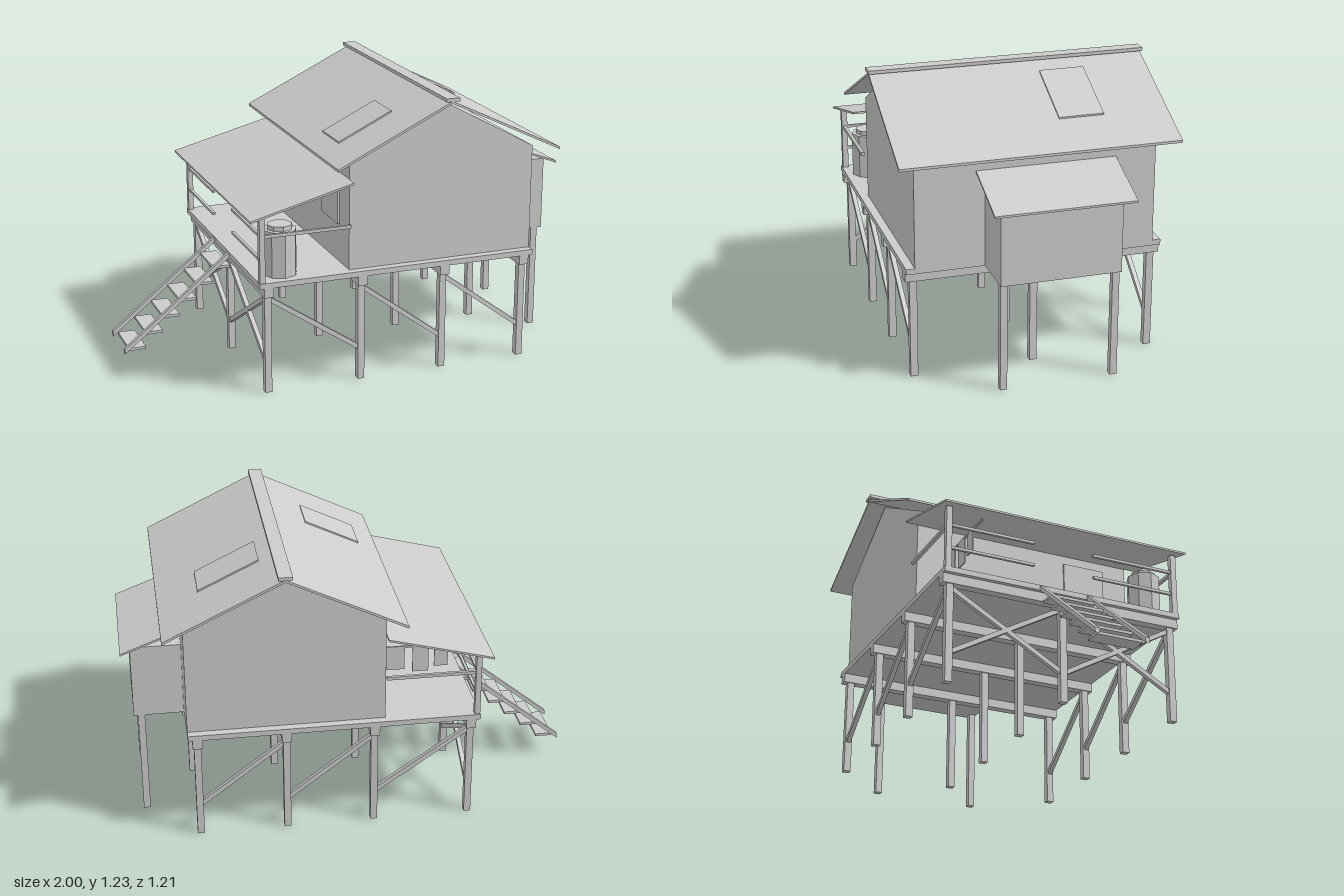
import * as THREE from 'three';

export function createModel() {
  const model = new THREE.Group();
  model.name = 'stiltHouse';
  const grey = new THREE.MeshStandardMaterial({ color: 0xcccccc });
  grey.name = 'plain grey';

  const add = (name, geometry) => {
    const mesh = new THREE.Mesh(geometry, grey);
    mesh.name = name;
    model.add(mesh);
    return mesh;
  };
  // Box given by its limits on each axis
  const box = (name, x0, x1, y0, y1, z0, z1) =>
    add(name, new THREE.BoxGeometry(x1 - x0, y1 - y0, z1 - z0)
      .translate((x0 + x1) / 2, (y0 + y1) / 2, (z0 + z1) / 2));
  // Outline in x and y, extruded from z0 to z1
  const prism = (name, points, z0, z1) => {
    const shape = new THREE.Shape(points.map(([x, y]) => new THREE.Vector2(x, y)));
    return add(name, new THREE.ExtrudeGeometry(shape, { depth: z1 - z0, bevelEnabled: false })
      .translate(0, 0, z0));
  };
  // Sloping sheet whose lower face runs from a to b (a left of b)
  const sheet = (name, a, b, t, z0, z1) =>
    prism(name, [a, b, [b[0], b[1] + t], [a[0], a[1] + t]], z0, z1);
  // Square bar between two points
  const bar = (name, a, b, w) => {
    const from = new THREE.Vector3(...a), to = new THREE.Vector3(...b);
    const mesh = add(name, new THREE.BoxGeometry(w, w, from.distanceTo(to)));
    mesh.position.copy(from).add(to).multiplyScalar(0.5);
    mesh.lookAt(to);
    return mesh;
  };

  // Stilts, cross beams and deck
  const rows = [-0.48, -0.06, 0.32, 0.70];
  for (const x of rows) {
    box('crossBeam', x - 0.021, x + 0.021, 0.435, 0.476, -0.555, 0.555);
    for (const z of [-0.52, 0, 0.52]) {
      box('stilt', x - 0.015, x + 0.015, 0, 0.436, z - 0.016, z + 0.016);
    }
  }
  box('deck', -0.52, 0.74, 0.476, 0.5, -0.555, 0.555);

  // Diagonal braces along both sides, crossed braces at the stair end
  for (const z of [-0.52, 0.52]) {
    for (let i = 0; i < 3; i++) {
      bar('sideBrace', [rows[i], 0.425, z], [rows[i + 1], 0.14, z], 0.02);
    }
    bar('endBrace', [-0.48, 0.425, z], [-0.48, 0.13, 0], 0.02);
    bar('endBrace', [-0.48, 0.13, z], [-0.48, 0.425, 0], 0.02);
  }

  // House body with gables
  prism('houseWalls', [[-0.11, 0.5], [0.74, 0.5], [0.74, 0.965], [0.32, 1.195], [-0.11, 0.965]], -0.518, 0.518);
  box('shutter', -0.119, -0.109, 0.67, 0.85, 0.2, 0.4);

  // Main roof, ridge cap and roof hatches
  const eave = 0.96, ridge = 1.205;
  sheet('leftRoof', [-0.19, eave], [0.32, ridge], 0.011, -0.598, 0.598);
  sheet('rightRoof', [0.32, ridge], [0.83, eave], 0.011, -0.598, 0.598);
  box('ridgeCap', 0.29, 0.35, 1.215, 1.23, -0.603, 0.603);
  const roofTop = (x) => ridge + 0.012 - Math.abs(x - 0.32) * (ridge - eave) / 0.51;
  sheet('leftHatch', [-0.10, roofTop(-0.10)], [0.14, roofTop(0.14)], 0.007, 0.17, 0.365);
  sheet('rightHatch', [0.40, roofTop(0.40)], [0.66, roofTop(0.66)], 0.007, -0.315, -0.12);

  // Porch roof, posts and railings
  sheet('porchRoof', [-0.565, 0.774], [-0.11, 0.892], 0.009, -0.575, 0.575);
  for (const s of [-1, 1]) {
    const z = s * 0.537;
    box('porchPost', -0.518, -0.494, 0.5, 0.782, z - 0.013, z + 0.013);
    bar('sideRail', [-0.506, 0.7, z], [-0.11, 0.7, z], 0.014);
    for (const y of [0.595, 0.7]) {
      bar('endRail', [-0.506, y, z], [-0.506, y, s * 0.14], 0.012);
    }
  }

  // Washing line with hanging cloths
  bar('washingLine', [-0.506, 0.762, -0.38], [-0.11, 0.762, -0.38], 0.008);
  for (const [x, w, y] of [[-0.375, 0.06, 0.66], [-0.285, 0.07, 0.64], [-0.175, 0.08, 0.655]]) {
    box('cloth', x - w / 2, x + w / 2, y, 0.758, -0.383, -0.377);
  }

  // Barrel with lid
  const barrel = (name, r, y0, y1) =>
    add(name, new THREE.CylinderGeometry(r, r, y1 - y0, 8).toNonIndexed()
      .translate(-0.397, (y0 + y1) / 2, 0.45)).geometry.computeVertexNormals();
  barrel('barrel', 0.074, 0.5, 0.7);
  barrel('barrelLid', 0.055, 0.7, 0.72);

  // Annex on its own stilts with a lean-to roof
  box('annex', 0.738, 0.957, 0.475, 0.805, -0.297, 0.22);
  sheet('annexRoof', [0.74, 0.888], [1.0, 0.79], 0.009, -0.342, 0.258);
  for (const z of [-0.28, 0.2]) {
    box('annexStilt', 0.908, 0.938, 0, 0.476, z - 0.015, z + 0.015);
  }

  // Stairs
  for (const z of [-0.111, 0.111]) {
    sheet('stairStringer', [-1.0, 0.086], [-0.52, 0.475], 0.022, z - 0.01, z + 0.01);
  }
  for (let i = 0; i < 6; i++) {
    const x = -0.94 + 0.078 * i, y = 0.098 + 0.066 * i;
    box('stairTread', x - 0.038, x + 0.038, y - 0.006, y + 0.006, -0.102, 0.102);
  }

  return model;
}
